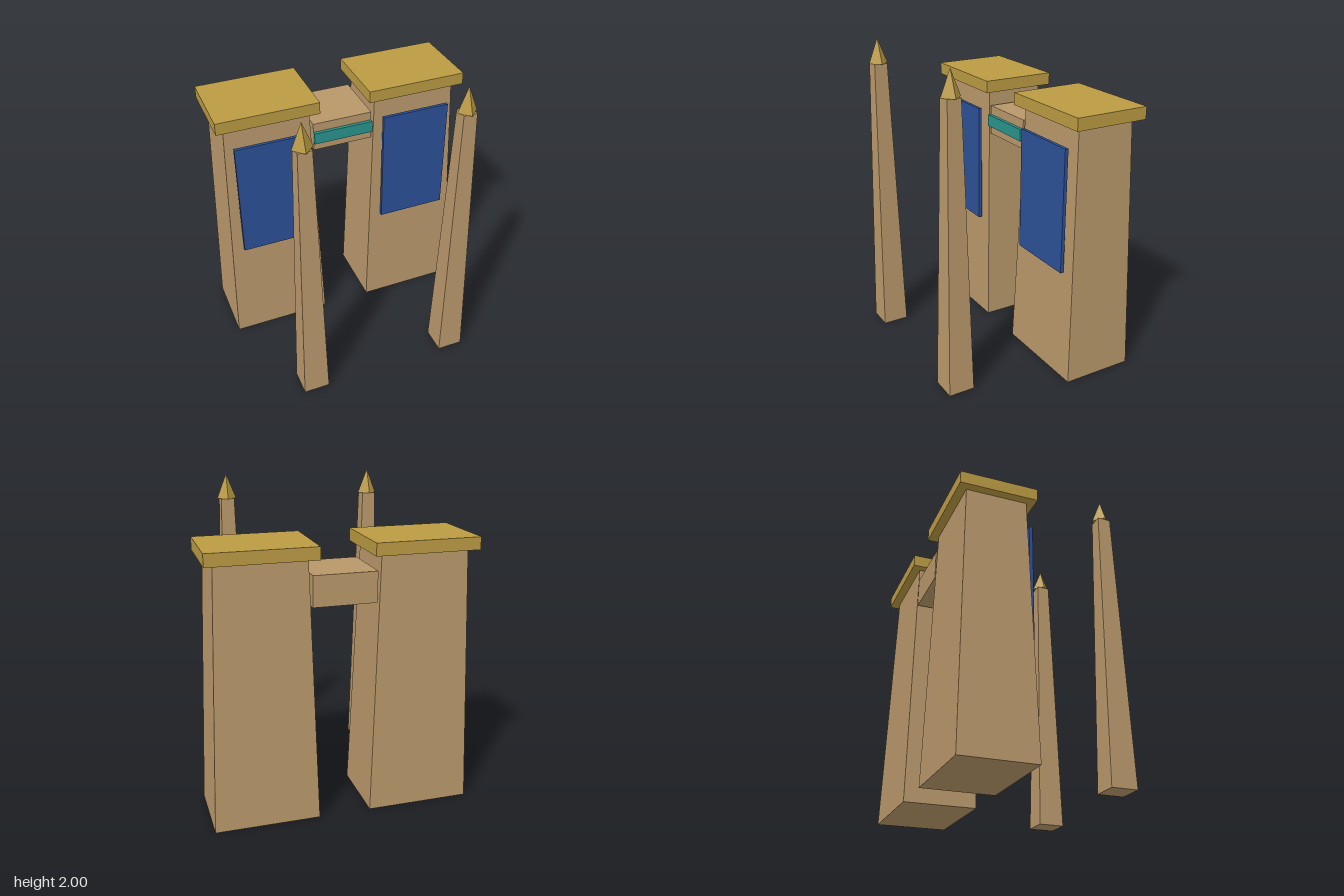
import * as THREE from 'three';

const mat = (name, color) => {
  const m = new THREE.MeshStandardMaterial({ color });
  m.name = name;
  return m;
};

export function createModel() {
  const sandstone = mat('sandstone', 0xb8976a);
  const gold = mat('gold', 0xba9a42);
  const blue = mat('blue', 0x2c5096);
  const teal = mat('teal', 0x2a948e);

  const model = new THREE.Group();
  model.name = 'templeGate';

  const add = (parent, name, geometry, material) => {
    const mesh = new THREE.Mesh(geometry, material);
    mesh.name = name;
    parent.add(mesh);
  };

  // Box given by its min and max corners
  const box = (x0, x1, y0, y1, z0, z1) =>
    new THREE.BoxGeometry(x1 - x0, y1 - y0, z1 - z0)
      .translate((x0 + x1) / 2, (y0 + y1) / 2, (z0 + z1) / 2);

  // Box standing on y = 0 whose upper end is narrowed
  const taperedBox = (w, h, d, topW, topD) => {
    const g = new THREE.BoxGeometry(w, h, d).translate(0, h / 2, 0);
    const p = g.attributes.position;
    for (let i = 0; i < p.count; i++) {
      if (p.getY(i) > h / 2) {
        p.setX(i, p.getX(i) * topW / w);
        p.setZ(i, p.getZ(i) * topD / d);
      }
    }
    g.computeVertexNormals();
    return g;
  };

  for (const [side, s] of [['left', 1], ['right', -1]]) {
    // Sloping tower with cornice and hanging banner
    const tower = new THREE.Group();
    tower.name = side + 'Tower';
    tower.position.set(s * 0.492, 0, -0.345);
    add(tower, 'towerBody', taperedBox(0.655, 1.64, 0.46, 0.545, 0.38), sandstone);
    add(tower, 'cornice', box(-0.327, 0.327, 1.637, 1.715, -0.245, 0.242), gold);
    add(tower, 'banner', box(-0.229, 0.229, 0.725, 1.51, 0.226, 0.248), blue);
    model.add(tower);

    // Freestanding obelisk with a tip turned 45 degrees to the shaft
    const obelisk = new THREE.Group();
    obelisk.name = side + 'Obelisk';
    obelisk.position.set(s * 0.492, 0, 0.507);
    add(obelisk, 'shaft', taperedBox(0.168, 1.84, 0.168, 0.086, 0.086), sandstone);
    add(obelisk, 'tip', new THREE.ConeGeometry(0.063, 0.16, 4, 1).toNonIndexed().translate(0, 1.92, 0), gold);
    obelisk.children[1].geometry.computeVertexNormals();
    model.add(obelisk);
  }

  // Lintel between the towers with a coloured band
  add(model, 'lintel', box(-0.197, 0.197, 1.35, 1.54, -0.542, -0.152), sandstone);
  add(model, 'lintelBand', box(-0.197, 0.197, 1.405, 1.482, -0.155, -0.13), teal);

  return model;
}
